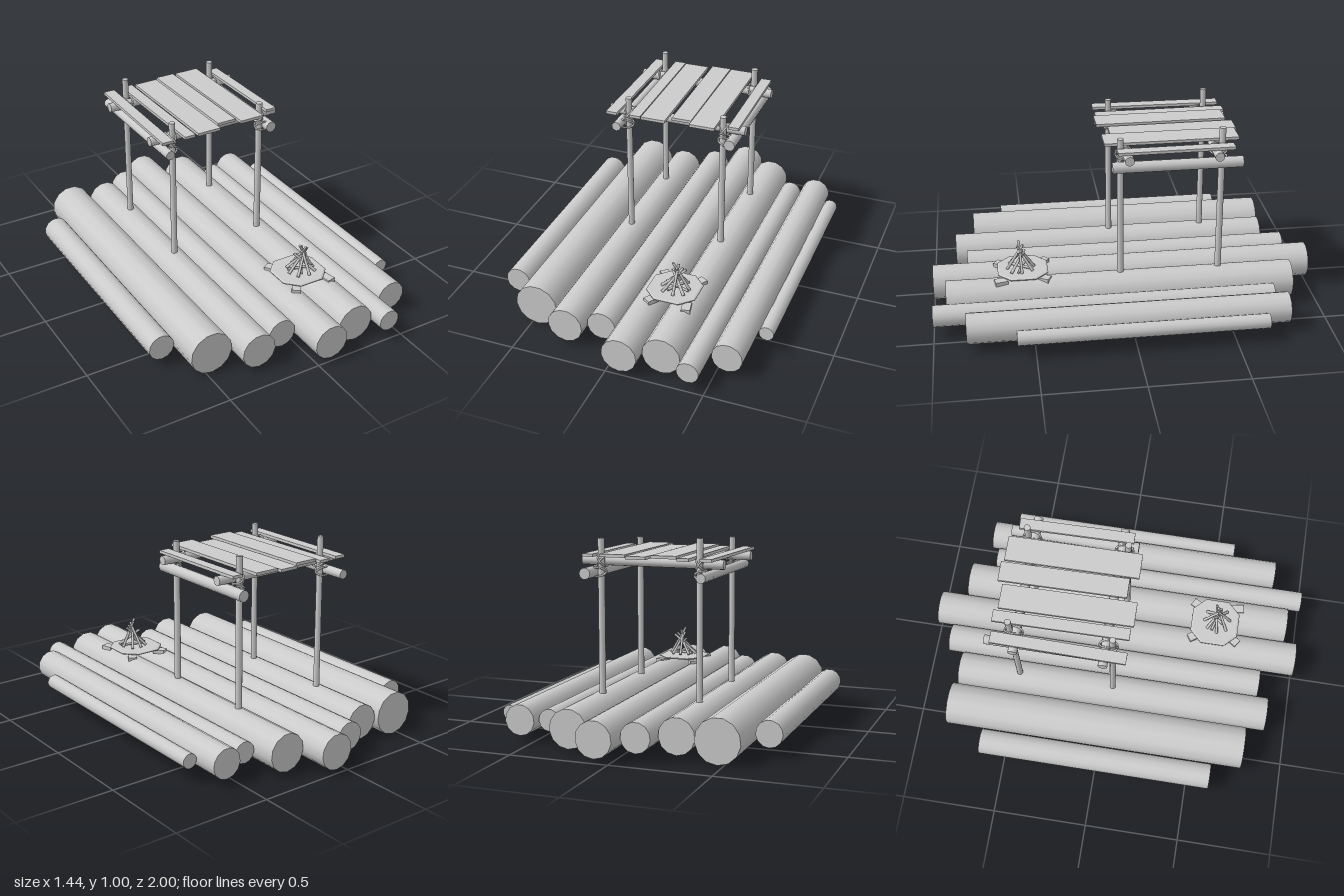
import * as THREE from 'three';

const mat = new THREE.MeshStandardMaterial({ color: 0xcccccc });
const UP = new THREE.Vector3(0, 1, 0);

// Round pole from point a to point b
function pole(name, a, b, r, sides = 12, rEnd = r) {
  const A = new THREE.Vector3(...a), B = new THREE.Vector3(...b);
  const dir = B.clone().sub(A);
  const m = new THREE.Mesh(new THREE.CylinderGeometry(rEnd, r, dir.length(), sides), mat);
  m.name = name;
  m.position.copy(A).add(B).multiplyScalar(0.5);
  m.quaternion.setFromUnitVectors(UP, dir.normalize());
  return m;
}

function box(name, size, pos, rot = [0, 0, 0]) {
  const m = new THREE.Mesh(new THREE.BoxGeometry(...size), mat);
  m.name = name;
  m.position.set(...pos);
  m.rotation.set(...rot);
  return m;
}

// Rope loop: an ellipse at a centre, spanned by two half-axes
function ropeLoop(c, u, v) {
  const C = new THREE.Vector3(...c), U = new THREE.Vector3(...u), V = new THREE.Vector3(...v);
  const pts = [];
  for (let i = 0; i < 12; i++) {
    const t = (i / 12) * Math.PI * 2;
    pts.push(C.clone().addScaledVector(U, Math.cos(t)).addScaledVector(V, Math.sin(t)));
  }
  const curve = new THREE.CatmullRomCurve3(pts, true);
  const m = new THREE.Mesh(new THREE.TubeGeometry(curve, 24, 0.005, 6, true), mat);
  m.name = 'lashing';
  return m;
}

export function createModel() {
  const raft = new THREE.Group();
  raft.name = 'raft';

  // Deck logs: x, radius, back z, front z
  const deck = new THREE.Group();
  deck.name = 'deck';
  raft.add(deck);
  [
    [-0.655, 0.067, -0.63, 0.62],
    [-0.47, 0.112, -0.837, 0.78],
    [-0.265, 0.091, -0.817, 0.88],
    [-0.097, 0.075, -0.907, 0.82],
    [0.072, 0.091, -1, 1],
    [0.262, 0.098, -0.865, 0.932],
    [0.42, 0.056, -0.742, 1],
    [0.558, 0.078, -0.785, 0.835],
    [0.678, 0.038, -0.66, 0.592],
  ].forEach(([x, r, back, front]) => {
    deck.add(pole('log', [x, 0.115, back], [x, 0.115, front], r, 13));
  });

  // Shelter frame
  const shelter = new THREE.Group();
  shelter.name = 'shelter';
  raft.add(shelter);

  // Posts: x, z, top, radius
  const posts = [
    [-0.262, 0.033, 0.965, 0.016],
    [0.25, 0.033, 0.95, 0.017],
    [-0.262, -0.48, 1.0, 0.016],
    [0.25, -0.48, 0.985, 0.017],
  ];
  for (const [x, z, top, r] of posts) {
    shelter.add(pole('post', [x, 0.14, z], [x, top, z], r));
    // Crossed lashings around the post and the cross beam
    const zc = z + (z > 0 ? -0.02 : 0.02);
    for (const s of [-1, 1]) {
      shelter.add(ropeLoop([x, 0.873, zc], [0, 0, 0.046], [0.02, 0.026 * s, 0]));
    }
    // Lashings around the post and the side beam
    const side = Math.sign(x);
    for (const s of [-1, 1]) {
      shelter.add(ropeLoop([x + side * 0.02, 0.82, z], [0.046, 0, 0], [0, 0.022, 0.018 * s]));
    }
  }

  // Cross beams and side beams
  for (const z of [0.0, -0.447]) {
    shelter.add(pole('crossBeam', [-0.375, 0.873, z], [0.36, 0.873, z], 0.024));
  }
  shelter.add(pole('sideBeam', [-0.308, 0.822, -0.605], [-0.308, 0.822, 0.1], 0.024));
  shelter.add(pole('sideBeam', [0.298, 0.818, -0.577], [0.298, 0.818, 0.08], 0.029));

  // Roof planks: centre x, width, back z, front z, yaw, top height
  [
    [-0.323, 0.06, -0.565, 0.112, -0.012, 0.91],
    [-0.204, 0.06, -0.575, 0.11, 0.01, 0.91],
    [-0.1, 0.128, -0.555, 0.122, 0.01, 0.917],
    [0.033, 0.103, -0.585, 0.065, 0.012, 0.912],
    [0.158, 0.132, -0.572, 0.11, 0.008, 0.917],
    [0.306, 0.056, -0.532, 0.055, 0.014, 0.911],
  ].forEach(([x, w, back, front, yaw, top]) => {
    shelter.add(box('roofPlank', [w, 0.015, front - back],
      [x, top - 0.0075, (back + front) / 2], [0, yaw, 0]));
  });

  // Fire slab with cut corners
  const fire = new THREE.Group();
  fire.name = 'campfire';
  raft.add(fire);
  const hw = 0.12, c = 0.06;
  const outline = new THREE.Shape([
    [hw, hw - c], [hw - c, hw], [c - hw, hw], [-hw, hw - c],
    [-hw, c - hw], [c - hw, -hw], [hw - c, -hw], [hw, c - hw],
  ].map(([x, y]) => new THREE.Vector2(x, y)));
  const slabGeo = new THREE.ExtrudeGeometry(outline, {
    depth: 0.004, bevelEnabled: true, bevelThickness: 0.004, bevelSize: 0.009, bevelSegments: 1,
  });
  slabGeo.rotateX(-Math.PI / 2);
  const slab = new THREE.Mesh(slabGeo, mat);
  slab.name = 'fireSlab';
  slab.position.set(0.182, 0.224, 0.535);
  fire.add(slab);

  // Chocks that level the slab
  [
    [0.092, 0.43, 0.6], [0.1, 0.645, -0.6], [0.285, 0.65, 0.2], [0.275, 0.43, -0.5],
  ].forEach(([x, z, yaw]) => {
    fire.add(box('chock', [0.045, 0.022, 0.065], [x, 0.208, z], [0, yaw, 0]));
  });

  // Stacked firewood: foot and tip of each stick
  [
    [[0.118, 0.236, 0.55], [0.24, 0.345, 0.53]],
    [[0.262, 0.236, 0.54], [0.178, 0.385, 0.55]],
    [[0.14, 0.236, 0.6], [0.225, 0.355, 0.535]],
    [[0.235, 0.236, 0.485], [0.185, 0.355, 0.56]],
    [[0.185, 0.236, 0.475], [0.2, 0.365, 0.56]],
    [[0.2, 0.236, 0.615], [0.2, 0.37, 0.53]],
    [[0.14, 0.236, 0.495], [0.215, 0.335, 0.555]],
    [[0.25, 0.236, 0.595], [0.165, 0.325, 0.52]],
    [[0.13, 0.243, 0.52], [0.262, 0.243, 0.56]],
    [[0.165, 0.247, 0.59], [0.23, 0.247, 0.49]],
  ].forEach(([a, b]) => fire.add(pole('stick', a, b, 0.008, 7, 0.0065)));

  return raft;
}
